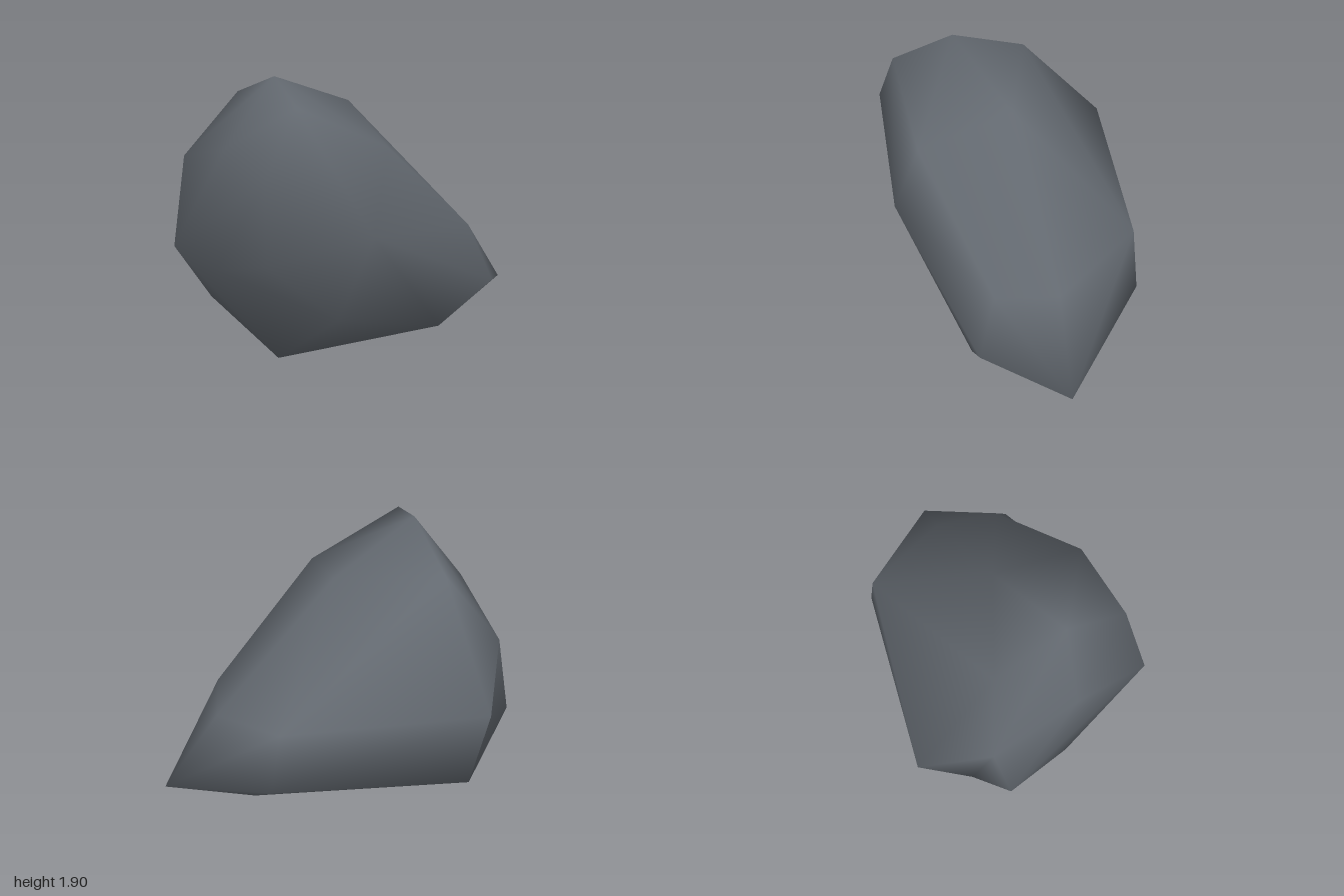
import * as THREE from 'three';
import { ConvexGeometry } from 'three/addons/geometries/ConvexGeometry.js';

// Corner points of the boulder, grouped by region
const peak = [-0.07, 1.9, 0.52], leftShoulder = [0.59, 1.49, 0.31];
const rightBrow = [-0.79, 1.29, 0.42], rightCheek = [-0.8, 0.72, 0.55], rightTip = [-1, 1.02, 0];
const chin = [0.05, 0.81, 0.85], leftTip = [1, 0.48, -0.42], foot = [-0.15, 0, 0.36];
const corners = [
  // crown
  peak, leftShoulder, [0.22, 1.79, 0.77], [-0.48, 1.71, 0.26], [0.13, 1.65, -0.07], [-0.3, 1.47, 0.73],
  // front
  rightBrow, rightCheek, chin, [0.12, 1.39, 0.98], [-0.38, 0.68, 0.73], [0.6, 0.98, 0.51], [0.33, 0.38, 0.45],
  // back
  rightTip, [-0.04, 0.97, -0.86], [-0.01, 0.57, -0.92], [0.58, 0.81, -0.72], [0.83, 0.83, -0.41],
  // base
  foot, leftTip, [-0.73, 0.28, 0.23], [0.48, 0.09, -0.5], [0.74, 0.2, -0.17], [0.83, 0.3, -0.98],
];
// Ridges turned into shallow hollows
const hollows = [[rightCheek, rightTip], [leftShoulder, leftTip], [chin, foot]];

// Triangles of the hull, as indices into the points
function hullFaces(points) {
  const position = new ConvexGeometry(points).getAttribute('position');
  const v = new THREE.Vector3();
  const ids = Array.from({ length: position.count }, (_, i) => {
    v.fromBufferAttribute(position, i);
    return points.findIndex((p) => p.distanceTo(v) < 1e-4);
  });
  return Array.from({ length: ids.length / 3 }, (_, i) => ids.slice(i * 3, i * 3 + 3));
}

// Swap the edge a-b of two triangles for their other diagonal
function flipEdge(faces, a, b) {
  const pair = faces.filter((f) => f.includes(a) && f.includes(b));
  if (pair.length !== 2) return;
  const [c, d] = pair.map((f) => f.find((i) => i !== a && i !== b));
  const [first, second] = pair;
  first[first.indexOf(b)] = d;
  second[second.indexOf(a)] = c;
}

export function createModel() {
  const group = new THREE.Group();
  const stone = new THREE.MeshStandardMaterial({ color: 0x636970 });
  stone.name = 'slate grey stone';

  const points = corners.map((p) => new THREE.Vector3(...p));
  const faces = hullFaces(points);
  for (const [a, b] of hollows) flipEdge(faces, corners.indexOf(a), corners.indexOf(b));

  // Shared corners give smooth shading
  const geometry = new THREE.BufferGeometry().setFromPoints(points);
  geometry.setIndex(faces.flat());
  geometry.computeVertexNormals();

  const boulder = new THREE.Mesh(geometry, stone);
  boulder.name = 'boulder';
  group.add(boulder);
  return group;
}
